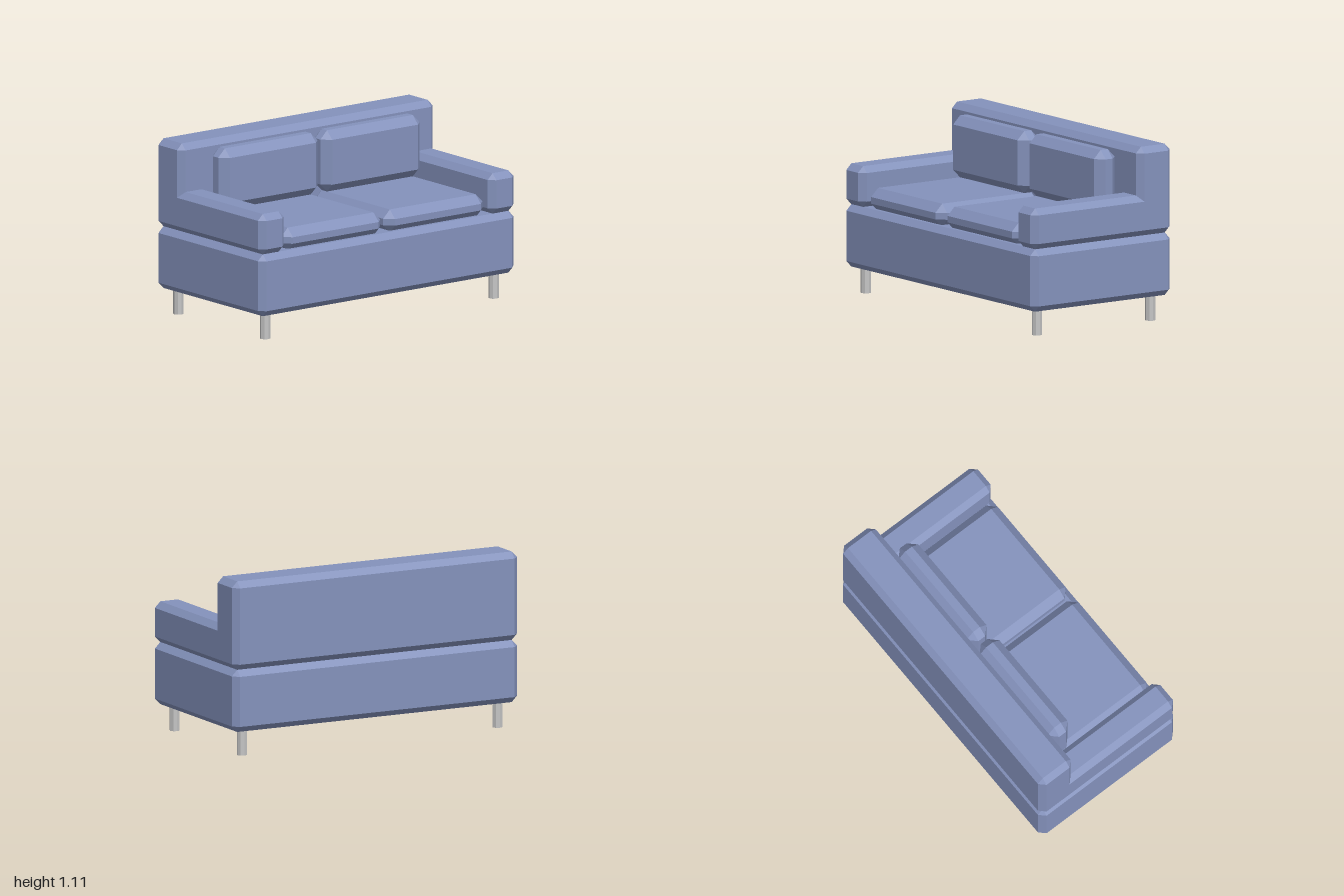
import * as THREE from 'three';
import { ConvexGeometry } from 'three/addons/geometries/ConvexGeometry.js';

const fabric = new THREE.MeshStandardMaterial({ color: 0x8492bc });
fabric.name = 'blue fabric';
const metal = new THREE.MeshStandardMaterial({ color: 0xc4c4c4 });
metal.name = 'grey metal';

// Box between two corners with every edge bevelled by c
function bevelBox(name, [x0, y0, z0], [x1, y1, z1], c) {
  const half = [(x1 - x0) / 2, (y1 - y0) / 2, (z1 - z0) / 2];
  const points = [];
  for (const sx of [-1, 1]) for (const sy of [-1, 1]) for (const sz of [-1, 1]) {
    for (let axis = 0; axis < 3; axis++) {
      const [hx, hy, hz] = half.map((h, i) => (i === axis ? h : h - c));
      points.push(new THREE.Vector3(sx * hx, sy * hy, sz * hz));
    }
  }
  const mesh = new THREE.Mesh(new ConvexGeometry(points), fabric);
  mesh.position.set((x0 + x1) / 2, (y0 + y1) / 2, (z0 + z1) / 2);
  mesh.name = name;
  return mesh;
}

export function createModel() {
  const sofa = new THREE.Group();
  sofa.name = 'sofa';

  // Body: base and backrest
  sofa.add(bevelBox('base', [-1, 0.16, -0.53], [1, 0.55, 0.53], 0.038));
  sofa.add(bevelBox('backrest', [-1, 0.55, -0.53], [1, 1.105, -0.273], 0.038));

  const legGeometry = new THREE.CylinderGeometry(0.032, 0.032, 0.165, 8).toNonIndexed();
  legGeometry.computeVertexNormals();

  for (const side of [-1, 1]) {
    const label = side > 0 ? 'left' : 'right';
    // Mirrored span along x
    const span = (a, b) => (side > 0 ? [a, b] : [-b, -a]);

    // Armrest runs the full depth, flush with the backrest's end
    const [a0, a1] = span(0.8, 1);
    sofa.add(bevelBox(label + 'Armrest', [a0, 0.55, -0.53], [a1, 0.805, 0.53], 0.038));

    // Loose cushions
    const [c0, c1] = span(0.012, 0.788);
    sofa.add(bevelBox(label + 'SeatCushion', [c0, 0.535, -0.275], [c1, 0.68, 0.505], 0.052));
    sofa.add(bevelBox(label + 'BackCushion', [c0, 0.68, -0.275], [c1, 1.067, -0.118], 0.052));

    // Legs
    for (const z of [-0.43, 0.43]) {
      const leg = new THREE.Mesh(legGeometry, metal);
      leg.position.set(side * 0.895, 0.0825, z);
      leg.name = label + (z > 0 ? 'FrontLeg' : 'BackLeg');
      sofa.add(leg);
    }
  }
  return sofa;
}
